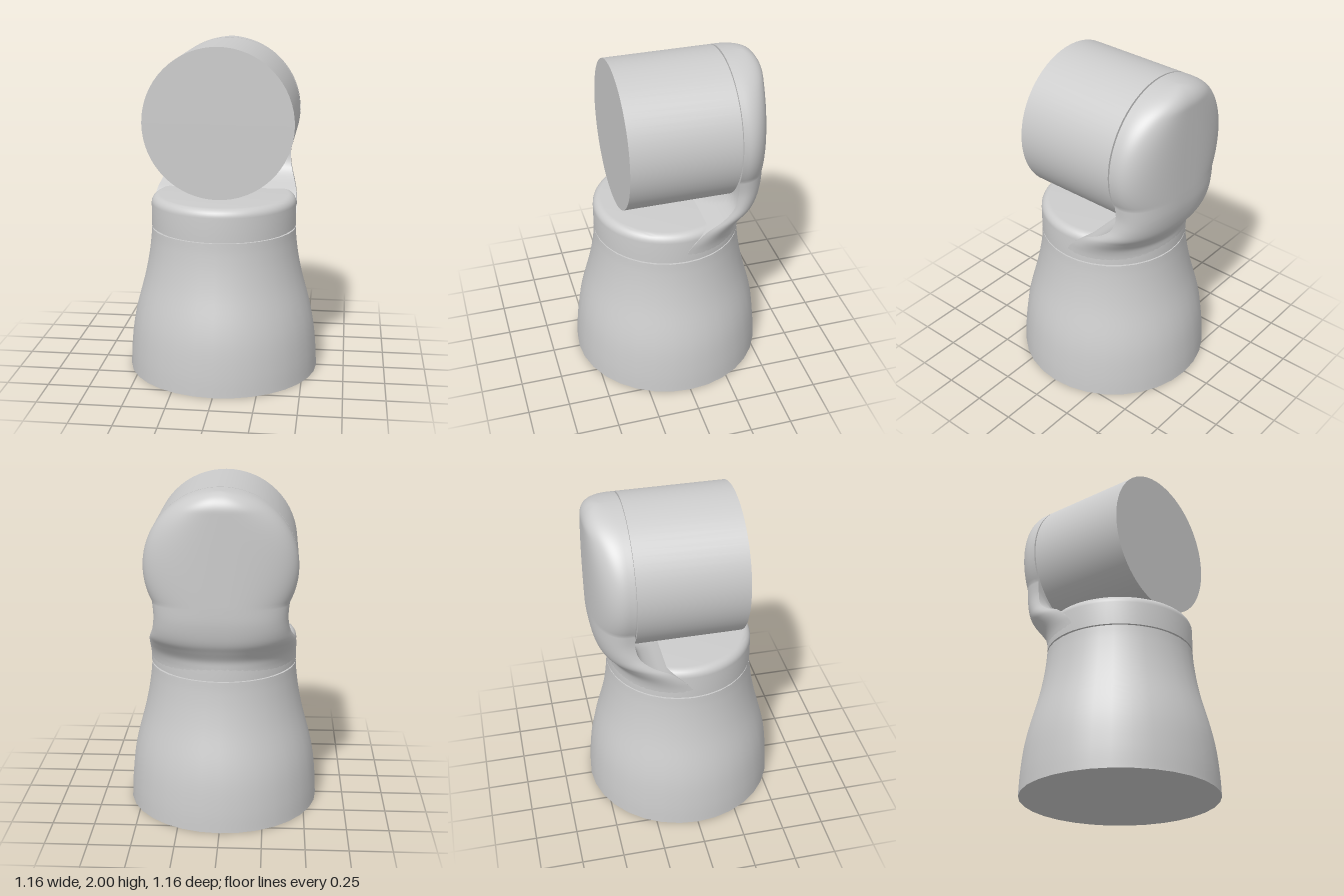
import * as THREE from 'three';
import { toCreasedNormals } from 'three/addons/utils/BufferGeometryUtils.js';

const R = 0.44, AXIS_Y = 1.56, PLATE_Z = -0.33;
const material = new THREE.MeshStandardMaterial({ color: 0xcccccc, side: THREE.DoubleSide });

function add(group, name, geometry) {
  const mesh = new THREE.Mesh(geometry, material);
  mesh.name = name;
  group.add(mesh);
  return mesh;
}

function lathe(points, segments) {
  return toCreasedNormals(new THREE.LatheGeometry(points, segments), 0.7);
}

// Smooth skin over rows of points with equal length
function skin(rows) {
  const n = rows[0].length, index = [];
  for (let i = 0; i < rows.length - 1; i++) {
    for (let j = 0; j < n - 1; j++) {
      const a = i * n + j, b = a + 1, c = a + n, d = c + 1;
      index.push(a, b, c, b, d, c);
    }
  }
  const g = new THREE.BufferGeometry();
  g.setAttribute('position', new THREE.Float32BufferAttribute(rows.flat(2), 3));
  g.setIndex(index);
  g.computeVertexNormals();
  return g;
}

// Horizontal slices of the bent arm: y, half width, front z, side z, back z, roundness
function armSlices() {
  const keys = [
    [0.92, 0.438, 0.00, 0.00, -0.438, 2.0],
    [0.97, 0.440, -0.02, -0.02, -0.440, 2.0],
    [1.02, 0.440, -0.06, -0.07, -0.447, 2.05],
    [1.08, 0.433, -0.13, -0.16, -0.482, 2.2],
    [1.13, 0.415, -0.235, -0.265, -0.512, 2.35],
    [1.19, 0.395, -0.305, -0.33, -0.53, 2.5],
    [1.27, 0.385, -0.33, -0.36, -0.542, 2.6],
    [1.36, 0.392, -0.33, -0.36, -0.545, 2.6],
  ];
  const curves = [1, 2, 3, 4, 5].map(
    (c) => new THREE.SplineCurve(keys.map((k) => new THREE.Vector2(k[0], k[c]))));
  const slices = [];
  for (let i = 0; i < 36; i++) {
    const p = curves.map((c) => c.getPoint(i / 36));
    slices.push([p[0].x, ...p.map((v) => v.y)]);
  }
  // Round upper plate, with a rolled rear edge at its crown
  const start = Math.asin((1.36 - AXIS_Y) / R), fillet = 0.105;
  for (let i = 0; i <= 48; i++) {
    const a = start + (Math.PI / 2 - start) * (i / 48);
    const y = AXIS_Y + R * Math.sin(a);
    const t = Math.max(0, (y - (AXIS_Y + R - fillet)) / fillet);
    const back = -0.44 - fillet * Math.sqrt(Math.max(0, 1 - t * t));
    slices.push([y, R * Math.max(0, Math.cos(a)), PLATE_Z, -0.36, back, 2.6]);
  }
  return slices;
}

function buildArm(group) {
  const frontRows = [], backRows = [];
  for (const [y, w, zf, zs, zb, p] of armSlices()) {
    // The front face is hollowed where the barrel needs clearance
    const frontZ = (x) => PLATE_Z + (zf - PLATE_Z) *
      THREE.MathUtils.smoothstep(Math.hypot(x, y - AXIS_Y), 0.44, 0.47);
    const front = [], back = [[w, y, frontZ(w)]];
    for (let j = 0; j <= 28; j++) {
      const x = w * (j / 14 - 1);
      front.push([x, y, frontZ(x)]);
    }
    const q = 2 + (p - 2) / 3;
    for (let j = 0; j <= 48; j++) {
      const a = Math.PI * j / 48, c = Math.cos(a), s = Math.max(0, Math.sin(a));
      const x = w * Math.sign(c) * Math.pow(Math.abs(c), 2 / p);
      back.push([x, y, zs + (zb - zs) * Math.pow(s, 2 / q)]);
    }
    back.push([-w, y, frontZ(w)]);
    frontRows.push(front);
    backRows.push(back);
  }
  add(group, 'armFront', skin(frontRows));
  add(group, 'armBack', skin(backRows));
}

export function createModel() {
  const model = new THREE.Group();
  model.name = 'jointedArm';
  const V = (x, y) => new THREE.Vector2(x, y);

  // Flared base with closed ends
  const flare = new THREE.SplineCurve([
    V(0.58, 0), V(0.575, 0.12), V(0.56, 0.27), V(0.535, 0.4), V(0.487, 0.58),
    V(0.46, 0.71), V(0.445, 0.82), V(0.44, 0.89),
  ]).getPoints(28);
  add(model, 'base', lathe([V(0, 0), ...flare, V(0, 0.89)], 32));

  // Recessed ring between base and elbow
  const lowerSeam = add(model, 'lowerSeam', new THREE.CylinderGeometry(0.425, 0.425, 0.03, 64));
  lowerSeam.position.y = 0.895;

  // Elbow: round foot with a rolled upper edge, and the arm rising behind it
  const elbow = new THREE.Group();
  elbow.name = 'elbow';
  const foot = [V(0, 0.9), V(R, 0.9)];
  for (let i = 0; i <= 8; i++) {
    const a = (Math.PI / 2) * (i / 8);
    foot.push(V(R - 0.05 + 0.05 * Math.cos(a), 1.04 + 0.05 * Math.sin(a)));
  }
  add(elbow, 'elbowFoot', lathe([...foot, V(0, 1.09)], 64));
  buildArm(elbow);
  model.add(elbow);

  // Barrel lying along z, with its recessed ring against the arm
  const barrel = add(model, 'barrel', new THREE.CylinderGeometry(R, R, 0.64, 64));
  barrel.rotation.x = Math.PI / 2;
  barrel.position.y = AXIS_Y;
  const upperSeam = add(model, 'upperSeam', new THREE.CylinderGeometry(0.425, 0.425, 0.03, 64));
  upperSeam.rotation.x = Math.PI / 2;
  upperSeam.position.set(0, AXIS_Y, -0.325);

  return model;
}
